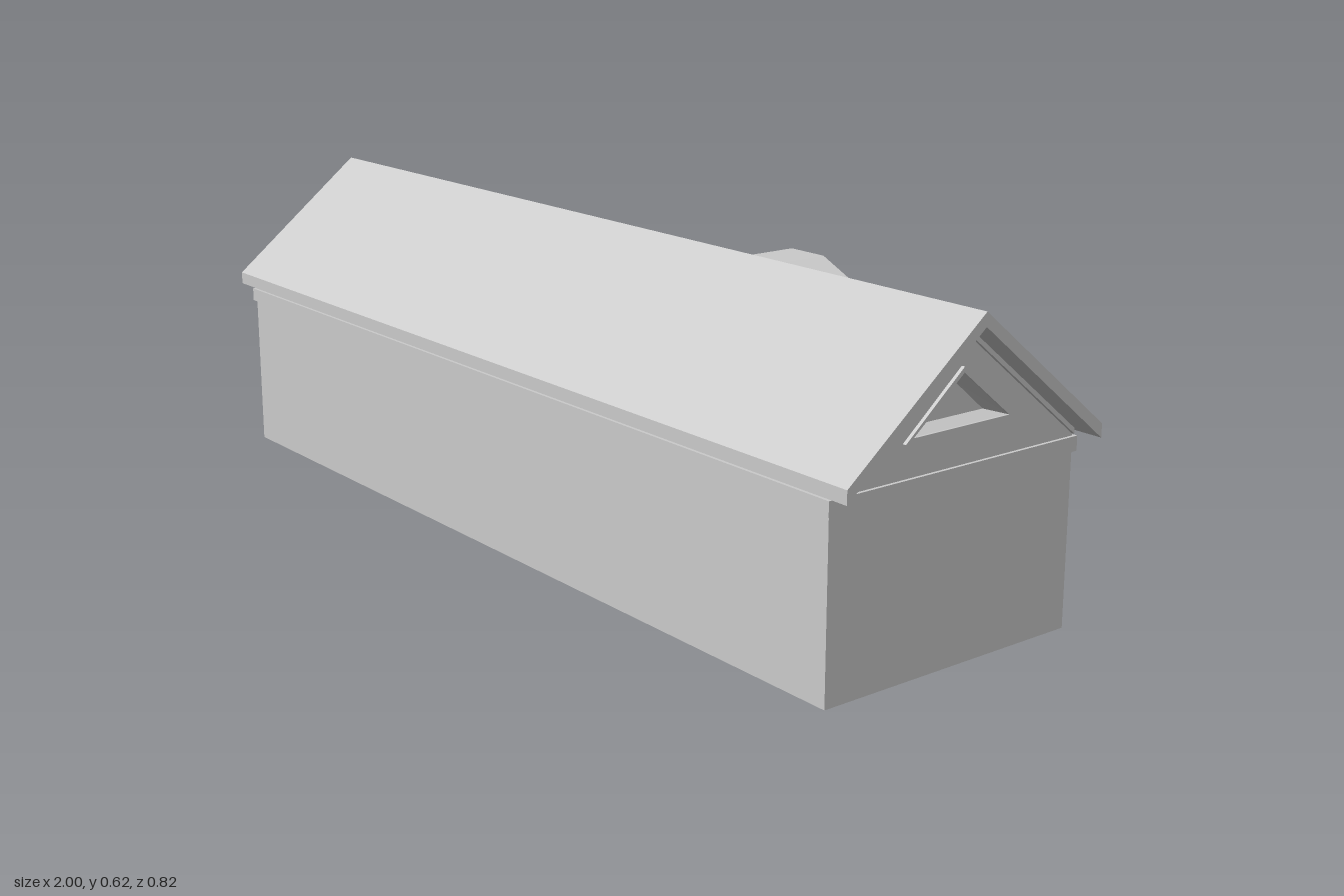
import * as THREE from 'three';

const mat = new THREE.MeshStandardMaterial({ color: 0xcccccc, flatShading: true, side: THREE.DoubleSide });
const RIDGE = 0.118, TOP = 0.615, SLOPE = 0.8;

function add(parent, name, geo, x = 0, y = 0, z = 0) {
  const m = new THREE.Mesh(geo, mat);
  m.name = name;
  m.position.set(x, y, z);
  parent.add(m);
  return m;
}
const vecs = pts => pts.map(p => new THREE.Vector2(p[0], p[1]));
function shape(pts, holes = []) {
  const s = new THREE.Shape(vecs(pts));
  holes.forEach(h => s.holes.push(new THREE.Path(vecs(h))));
  return s;
}
const rect = (x0, x1, y0, y1) => [[x0, y0], [x1, y0], [x1, y1], [x0, y1]];
const extrude = (s, depth) => new THREE.ExtrudeGeometry(s, { depth, bevelEnabled: false });
// Box given by its limits
function box(parent, name, x0, x1, y0, y1, z0, z1) {
  return add(parent, name, new THREE.BoxGeometry(x1 - x0, y1 - y0, z1 - z0),
    (x0 + x1) / 2, (y0 + y1) / 2, (z0 + z1) / 2);
}
// Strip of faces between two closed outlines at different depths
function loft(a, za, b, zb) {
  const v = [];
  a.forEach((p, i) => {
    const j = (i + 1) % a.length;
    const A = [...p, za], B = [...a[j], za], C = [...b[j], zb], D = [...b[i], zb];
    v.push(...A, ...B, ...C, ...A, ...C, ...D);
  });
  const g = new THREE.BufferGeometry();
  g.setAttribute('position', new THREE.Float32BufferAttribute(v, 3));
  g.computeVertexNormals();
  return g;
}

// Sash window with hooded lintel, facing +z, wall plane at z = 0
function makeWindow(x) {
  const g = new THREE.Group();
  g.name = 'window';
  g.position.set(x, 0, 0.16);
  add(g, 'windowFrame', extrude(shape(rect(-0.05, 0.05, 0.055, 0.215), [rect(-0.038, 0.038, 0.07, 0.203)]), 0.014), 0, 0, -0.012);
  [[0.07, 0.137, -0.011], [0.137, 0.203, -0.007]].forEach(([y0, y1, z]) =>
    add(g, 'sash', extrude(shape(rect(-0.038, 0.038, y0, y1), [rect(-0.029, 0.029, y0 + 0.008, y1 - 0.008)]), 0.005), 0, 0, z));
  add(g, 'glass', new THREE.PlaneGeometry(0.1, 0.16), 0, 0.135, -0.012);
  box(g, 'lintel', -0.065, 0.065, 0.215, 0.24, 0, 0.007);
  for (const s of [-1, 1]) box(g, 'lintelDrop', s * 0.0575 - 0.0075, s * 0.0575 + 0.0075, 0.2, 0.215, 0, 0.006);
  return g;
}

// Gable end facing +z; local x runs along the building's depth, centred on the ridge
function makeGable(side) {
  const g = new THREE.Group();
  g.name = side > 0 ? 'leftGable' : 'rightGable';
  g.rotation.y = side * Math.PI / 2;
  g.position.set(side * 0.95, 0, RIDGE);
  const tri = (w, y0, y1) => [[-w, y0], [w, y0], [0, y1]];
  const hole = tri(0.11, 0.418, 0.507), inner = tri(0.068, 0.431, 0.488);
  const a = -side * 0.282, b = side * 0.278;
  add(g, 'endWall', new THREE.ShapeGeometry(
    shape([[a, 0], [b, 0], [b, 0.363], [0, 0.588], [a, 0.361]], [hole])));
  add(g, 'ventFrame', extrude(shape(tri(0.127, 0.41, 0.517), [hole]), 0.007));
  add(g, 'ventReveal', loft(hole, 0.003, inner, -0.014));
  add(g, 'ventPanel', new THREE.ShapeGeometry(shape(inner)), 0, 0, -0.014);
  // Moulding along the underside of the roof
  add(g, 'rakeMoulding', extrude(shape(
    [[-0.275, 0.365], [0, 0.586], [0.275, 0.365], [0.275, 0.355], [0, 0.576], [-0.275, 0.355]]), 0.007));
  return g;
}

function makeDoor() {
  const g = new THREE.Group();
  g.name = 'door';
  g.position.z = 0.385;
  const portal = (w, h) => [[-w, 0], [-w, h], [w, h], [w, 0]];
  const frame = (w, h, w2, h2) => shape([...portal(w, h), ...portal(w2, h2).reverse()]);
  add(g, 'doorFrame', extrude(frame(0.107, 0.28, 0.086, 0.262), 0.014));
  add(g, 'innerFrame', extrude(frame(0.086, 0.262, 0.074, 0.252), 0.007));
  for (const s of [-1, 1]) {
    box(g, 'doorLeaf', s * 0.0375 - 0.0365, s * 0.0375 + 0.0365, 0, 0.252, -0.006, 0.001);
    for (let i = 0; i < 4; i++)
      for (const c of [-1, 1]) {
        const x = s * 0.0375 + c * 0.016, y = 0.02 + i * 0.057;
        box(g, 'doorPanel', x - 0.011, x + 0.011, y, y + 0.044, 0, 0.003);
      }
    add(g, 'doorKnob', new THREE.SphereGeometry(0.004, 8, 6), s * 0.006, 0.12, 0.004);
  }
  return g;
}

function makePorch() {
  const g = new THREE.Group();
  g.name = 'porch';
  const W = 0.223, arch = [[-0.233, 0.38], [-0.145, 0.443], [-0.05, 0.485], [0.05, 0.485], [0.145, 0.443], [0.233, 0.38]];
  const under = arch.map(([x, y]) => [x, y - 0.025]);
  add(g, 'porchFront', new THREE.ShapeGeometry(shape(
    [[-W, 0], [W, 0], [W, 0.362], ...under.slice(1, 5).reverse(), [-W, 0.362]])), 0, 0, 0.385);
  for (const s of [-1, 1])
    add(g, 'porchSide', new THREE.PlaneGeometry(0.225, 0.362), s * W, 0.181, 0.2725).rotation.y = s * Math.PI / 2;

  // Faceted vault, its inner end trimmed to the slope of the main roof
  const roof = extrude(shape([...arch, ...under.reverse()]), 0.41);
  const p = roof.attributes.position;
  for (let i = 0; i < p.count; i++)
    if (p.getZ(i) < 0.2) p.setZ(i, Math.min(0.174, (TOP - p.getY(i)) / SLOPE - RIDGE));
  roof.computeVertexNormals();
  add(g, 'vaultRoof', roof);

  // Round rosette above the door
  const r = new THREE.Group();
  r.name = 'rosette';
  r.position.set(0, 0.402, 0.385);
  add(r, 'rosetteRing', new THREE.TorusGeometry(0.032, 0.005, 6, 24));
  add(r, 'rosetteHub', new THREE.CylinderGeometry(0.01, 0.01, 0.01, 12)).rotation.x = Math.PI / 2;
  for (let i = 0; i < 8; i++) {
    const t = i * Math.PI / 4;
    add(r, 'rosettePetal', new THREE.BoxGeometry(0.014, 0.006, 0.008), 0.02 * Math.cos(t), 0.02 * Math.sin(t), 0).rotation.z = t;
  }
  g.add(r, makeDoor());
  return g;
}

export function createModel() {
  const model = new THREE.Group();
  model.name = 'building';

  // Main roof, extruded along x
  const roof = extrude(shape([[0.41, 0.38], [RIDGE, TOP], [-0.175, 0.38],
    [-0.175, 0.355], [RIDGE, TOP - 0.025], [0.41, 0.355]]), 2);
  add(model, 'mainRoof', roof.rotateY(-Math.PI / 2), 1);

  // Plain long wall and the two gable ends
  add(model, 'frontWall', new THREE.PlaneGeometry(1.9, 0.361), 0, 0.1805, 0.4);
  model.add(makeGable(1), makeGable(-1));

  // Cornice band around house and porch (plan drawn as x, -z)
  const plan = (o, w = 0.223 + o, e = 0.95 + o) => [[-e, -0.4 - o], [e, -0.4 - o], [e, 0.16 + o],
    [w, 0.16 + o], [w, 0.385 + o], [-w, 0.385 + o], [-w, 0.16 + o], [-e, 0.16 + o]];
  const cornice = extrude(shape(plan(0.006), [plan(-0.001)]), 0.027);
  add(model, 'cornice', cornice.rotateX(-Math.PI / 2), 0, 0.323);

  // Rear side, built facing +z and turned round
  const rear = new THREE.Group();
  rear.name = 'rearSide';
  rear.rotation.y = Math.PI;
  const xs = [0.33, 0.5, 0.67, 0.84].flatMap(x => [x, -x]);
  add(rear, 'rearWall', new THREE.ShapeGeometry(shape(rect(-0.95, 0.95, 0, 0.363),
    xs.map(x => rect(x - 0.048, x + 0.048, 0.057, 0.213)))), 0, 0, 0.16);
  xs.forEach(x => rear.add(makeWindow(x)));
  rear.add(makePorch());
  model.add(rear);
  return model;
}
